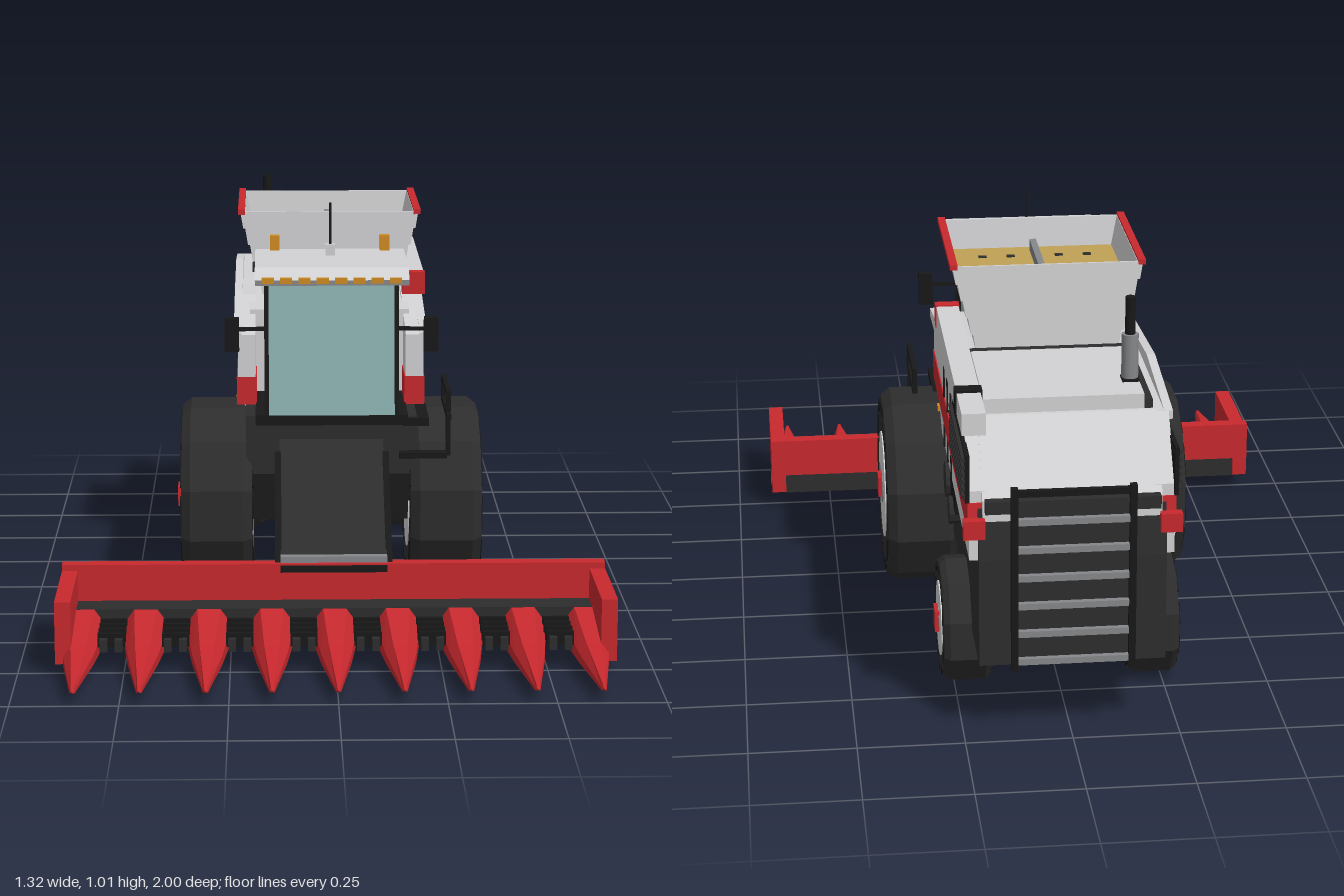
import * as THREE from 'three';

const mat = (name, color, side = THREE.FrontSide) => {
  const m = new THREE.MeshStandardMaterial({ color, side });
  m.name = name;
  return m;
};

export function createModel() {
  const white = mat('pale grey paint', 0xd2d2d4), red = mat('red paint', 0xc8292e);
  const dark = mat('dark grey', 0x2d2d2d), black = mat('black', 0x181818);
  const glass = mat('tinted glass', 0x8ab0af), gold = mat('grain gold', 0xc0a257);
  const amber = mat('amber', 0xd08c22), grey = mat('mid grey', 0x85878a);
  const model = new THREE.Group();
  model.name = 'harvester';

  const add = (name, m, geo, parent = model) => {
    const mesh = new THREE.Mesh(geo, m);
    mesh.name = name;
    parent.add(mesh);
    return mesh;
  };
  const flat = (g) => { const f = g.index ? g.toNonIndexed() : g; f.computeVertexNormals(); return f; };
  // Box given by its limits on each axis
  const box = (name, m, x0, x1, y0, y1, z0, z1, parent) => add(name, m,
    new THREE.BoxGeometry(x1 - x0, y1 - y0, z1 - z0).translate((x0 + x1) / 2, (y0 + y1) / 2, (z0 + z1) / 2), parent);
  // Side profile of [z, y] points extruded from x0 to x1
  const profile = (name, m, pts, x0, x1, parent) => add(name, m,
    new THREE.ExtrudeGeometry(new THREE.Shape(pts.map(p => new THREE.Vector2(p[0], p[1]))),
      { depth: x1 - x0, bevelEnabled: false }).rotateY(-Math.PI / 2).translate(x1, 0, 0), parent);
  // Square bar between two points
  const bar = (name, m, a, b, t = 0.012, parent) => {
    const p = new THREE.Vector3(...a), q = new THREE.Vector3(...b);
    const mesh = add(name, m, new THREE.BoxGeometry(t, t, p.distanceTo(q)), parent);
    mesh.position.copy(p).lerp(q, 0.5);
    mesh.lookAt(q);
    return mesh;
  };
  // Cylinder lying along x, centred at (x, y, z)
  const disc = (name, m, r, w, n, x, y, z, parent) => add(name, m,
    flat(new THREE.CylinderGeometry(r, r, w, n).rotateZ(Math.PI / 2).translate(x, y, z)), parent);
  // Surface through rings of points
  const loft = (name, m, rings) => {
    const v = [];
    for (let i = 0; i + 1 < rings.length; i++) rings[i].forEach((a, j) => {
      const k = (j + 1) % rings[i].length, b = rings[i][k], c = rings[i + 1][k], d = rings[i + 1][j];
      v.push(...a, ...b, ...c, ...a, ...c, ...d);
    });
    const g = new THREE.BufferGeometry();
    g.setAttribute('position', new THREE.Float32BufferAttribute(v, 3));
    g.computeVertexNormals();
    return add(name, m, g);
  };

  // Chassis and upper body
  profile('chassis', dark, [[0.19, 0.49], [0.19, 0.34], [0.1, 0.2], [-0.5, 0.2], [-0.8, 0.18], [-0.98, 0.18],
    [-0.98, 0.44], [-0.96, 0.56], [-0.1, 0.56], [-0.1, 0.49]], -0.215, 0.215);
  profile('upperBody', white, [[-0.04, 0.49], [-0.04, 0.72], [-0.45, 0.74], [-0.84, 0.74], [-0.965, 0.58],
    [-0.965, 0.49]], -0.205, 0.205);
  box('engineDeck', white, -0.18, 0.19, 0.72, 0.775, -0.83, -0.5);
  box('deckGap', dark, -0.195, 0.2, 0.72, 0.765, -0.5, -0.45);
  box('deckEdge', dark, -0.2, -0.18, 0.72, 0.76, -0.83, -0.5);
  box('deckHatch', black, -0.18, -0.14, 0.775, 0.78, -0.75, -0.71);
  box('rearSill', dark, -0.2, 0.2, 0.555, 0.585, -0.985, -0.95);

  // Side panels, mirrored
  for (const s of [-1, 1]) {
    const side = new THREE.Group();
    side.name = s > 0 ? 'leftSide' : 'rightSide';
    model.add(side);
    const [a, b] = s > 0 ? [0.19, 0.235] : [-0.235, -0.19];
    const plate = (name, m, y0, y1, z0, z1, t = 0.004) =>
      box(name, m, Math.min(s * 0.233, s * (0.235 + t)), Math.max(s * 0.233, s * (0.235 + t)), y0, y1, z0, z1, side);
    profile('lowerPanel', white, [[0.02, 0.435], [0.02, 0.5], [-0.96, 0.5], [-0.96, 0.435]], a, b, side);
    profile('redStripe', red, [[0.1, 0.5], [0.1, 0.572], [-0.955, 0.572], [-0.965, 0.5]], a - 0.003, b + 0.003, side);
    profile('upperPanel', white, [[0.1, 0.572], [0.1, 0.68], [-0.18, 0.735], [-0.84, 0.735], [-0.95, 0.6], [-0.95, 0.572]], a, b, side);
    profile('slopingBeam', white, [[0.1, 0.665], [0.1, 0.685], [-0.2, s > 0 ? 0.735 : 0.74], [-0.55, s > 0 ? 0.735 : 0.77],
      [-0.84, 0.735], [-0.84, 0.715]], s > 0 ? 0.225 : -0.245, s > 0 ? 0.245 : -0.225, side);
    // Louvred engine grille
    plate('grille', black, 0.575, 0.69, -0.96, -0.59, 0.008);
    for (let i = 0; i < 6; i++) plate('louvre', dark, 0.583 + i * 0.018, 0.592 + i * 0.018, -0.955, -0.595, 0.016);
    for (const z of [-0.26, -0.365, -0.47]) {
      plate('panelSeam', black, 0.572, 0.66, z - 0.002, z + 0.002);
      plate('lowerSeam', black, 0.44, 0.5, z - 0.002, z + 0.002);
    }
    for (const z of [-0.08, -0.925]) plate('marker', amber, 0.472, 0.486, z - 0.012, z + 0.012, 0.006);
    box('tailLight', red, s > 0 ? 0.2 : -0.25, s > 0 ? 0.25 : -0.2, 0.495, 0.54, -0.985, -0.96, side);
    // Drive pulleys and covers below the panels
    disc('pulley', dark, 0.035, 0.03, 12, s * 0.225, 0.335, -0.415, side);
    disc('pulley', dark, 0.045, 0.03, 12, s * 0.225, 0.37, -0.3, side);
    box('beltCover', black, s > 0 ? 0.21 : -0.23, s > 0 ? 0.23 : -0.21, 0.355, 0.415, -0.5, -0.24, side);
    // Mirror on its arm
    bar('mirrorArm', black, [s * 0.16, 0.715, 0.2], [s * 0.25, 0.715, 0.21], 0.009, side);
    box('mirror', black, s * 0.248 - 0.018, s * 0.248 + 0.018, 0.66, 0.745, 0.2, 0.222, side);
  }

  // Grain tank with stepped walls, red side rims and a grain floor
  const tankRing = (x, y, z0, z1) => [[x, y, z1], [x, y, z0], [-x, y, z0], [-x, y, z1]];
  const rings = [];
  for (let i = 0; i <= 6; i++) {
    const t = i / 6, x = 0.155 + 0.073 * t, y = 0.71 + 0.26 * t;
    if (i) rings.push(tankRing(x, y, -0.435 - 0.016 * t, -0.08 + 0.02 * t));
    if (i < 6) rings.push(tankRing(x + 0.005, y, -0.439 - 0.016 * t, -0.076 + 0.02 * t));
  }
  rings.push(tankRing(0.215, 0.97, -0.445, -0.068), tankRing(0.2, 0.895, -0.438, -0.077));
  loft('grainTank', white, rings);
  box('grainFloor', gold, -0.202, 0.202, 0.888, 0.897, -0.44, -0.075);
  box('tankDivider', grey, -0.008, 0.008, 0.897, 0.925, -0.41, -0.1);
  for (const s of [-1, 1]) {
    box('tankRim', red, s * 0.225 - 0.009, s * 0.225 + 0.009, 0.963, 0.976, -0.455, -0.057);
    for (const z of [-0.35, -0.25, -0.15]) for (const x of [0.06, 0.13])
      box('floorHole', dark, s * x - 0.01, s * x + 0.01, 0.896, 0.899, z - 0.008, z + 0.008);
  }

  // Unloading auger
  box('augerTube', white, 0.195, 0.25, 0.738, 0.79, -0.96, -0.2);
  box('augerCap', red, 0.193, 0.252, 0.735, 0.793, -0.205, -0.175);
  box('augerClamp', black, 0.191, 0.254, 0.733, 0.796, -0.825, -0.79);
  box('augerRest', amber, 0.2, 0.242, 0.715, 0.738, -0.77, -0.74);

  // Exhaust
  add('exhaustBase', grey, new THREE.CylinderGeometry(0.02, 0.02, 0.12, 12).translate(-0.16, 0.825, -0.725));
  add('exhaustPipe', black, new THREE.CylinderGeometry(0.012, 0.012, 0.1, 12).translate(-0.16, 0.925, -0.725));

  // Cab
  box('cabFloor', black, -0.19, 0.19, 0.48, 0.505, -0.04, 0.255);
  box('cabGlass', glass, -0.158, 0.158, 0.505, 0.84, -0.035, 0.19);
  profile('windscreen', glass, [[0.247, 0.505], [0.255, 0.505], [0.205, 0.84], [0.197, 0.84]], -0.158, 0.158);
  for (const s of [-1, 1]) {
    bar('frontPillar', black, [s * 0.162, 0.505, 0.252], [s * 0.162, 0.84, 0.202], 0.011);
    box('sidePillar', black, s * 0.16 - 0.005, s * 0.16 + 0.005, 0.505, 0.84, 0.178, 0.194);
    box('rearPillar', black, s * 0.16 - 0.005, s * 0.16 + 0.005, 0.505, 0.84, -0.036, -0.022);
    box('beacon', amber, s * 0.14 - 0.012, s * 0.14 + 0.012, 0.87, 0.915, -0.035, -0.012);
  }
  profile('cabRoof', white, [[-0.04, 0.845], [0.235, 0.845], [0.27, 0.835], [0.28, 0.85], [0.25, 0.877], [-0.04, 0.877]], -0.19, 0.19);
  box('roofTrim', black, -0.165, 0.165, 0.836, 0.846, -0.035, 0.235);
  for (let i = 0; i < 8; i++) {
    const x = -0.158 + i * 0.045;
    box('workLight', amber, x - 0.015, x + 0.015, 0.842, 0.856, 0.272, 0.284);
  }
  box('antennaBase', white, -0.012, 0.012, 0.875, 0.905, 0.045, 0.068);
  box('antenna', black, -0.003, 0.003, 0.9, 1.01, 0.053, 0.059);

  // Access platform and handrails
  box('platform', black, 0.17, 0.29, 0.385, 0.4, 0.12, 0.22);
  box('upperStep', black, 0.18, 0.245, 0.465, 0.485, 0.02, 0.2);
  for (const z of [0, 0.2]) bar('railPost', black, [0.293, z > 0.1 ? 0.39 : 0.49, z], [0.293, 0.55, z]);
  bar('handrail', black, [0.293, 0.55, -0.006], [0.293, 0.55, 0.206]);
  bar('lowerRail', black, [0.293, 0.495, 0], [0.293, 0.495, 0.24]);

  // Wheels
  const wheel = (name, s, y, z, r, x0, x1, rim, n) => {
    const g = new THREE.Group(), h = (x1 - x0) / 2;
    g.name = name;
    g.position.set(s * (x0 + h), y, z);
    model.add(g);
    const pts = [[rim * 0.9, -h], [r * 0.93, -h], [r, -h * 0.75], [r, h * 0.75], [r * 0.93, h], [rim * 0.9, h]];
    add('tyre', dark, flat(new THREE.LatheGeometry(pts.map(p => new THREE.Vector2(...p)), n, Math.PI / n)
      .rotateZ(Math.PI / 2)), g);
    disc('rim', white, rim, 2 * h + 0.006, 28, 0, 0, 0, g);
    disc('hubPlate', grey, rim * 0.35, 2 * h + 0.01, 16, 0, 0, 0, g);
    box('hub', red, -h - 0.014, h + 0.014, -0.026, 0.026, -0.026, 0.026, g);
    for (let i = 0; i < n; i++) {
      const a = (i * 2 * Math.PI) / n;
      const lug = box('sidewallLug', black, -h - 0.003, h + 0.003, r * 0.78, r * 0.87, -r * 0.17, r * 0.17, g);
      lug.rotation.x = a;
    }
  };
  for (const s of [-1, 1]) {
    wheel('frontWheel', s, 0.243, 0, 0.25, 0.2, 0.378, 0.137, 12);
    wheel('rearWheel', s, 0.148, -0.635, 0.153, 0.165, 0.28, 0.09, 10);
  }
  disc('frontAxle', black, 0.05, 0.44, 10, 0, 0.24, 0);
  box('rearAxle', black, -0.2, 0.2, 0.12, 0.18, -0.665, -0.605);

  // Straw spreaders under the tail
  for (const s of [-1, 1]) {
    for (const turn of [0, 1, 2]) {
      const blade = add('spreaderBlade', black, new THREE.BoxGeometry(0.15, 0.012, 0.02));
      blade.position.set(s * 0.095, 0.165, -0.88);
      blade.rotation.y = turn * Math.PI / 3;
    }
  }

  // Rear ladder
  for (const x of [-0.135, 0.135]) box('ladderRail', black, x - 0.008, x + 0.008, 0.17, 0.62, -1, -0.982);
  for (let i = 0; i < 7; i++) box('ladderRung', i < 6 ? grey : black, -0.135, 0.135, 0.185 + i * 0.069, 0.2 + i * 0.069, -0.998, -0.984);
  box('ladderBack', dark, -0.14, 0.14, 0.18, 0.56, -0.984, -0.975);

  // Feeder house
  profile('feederHouse', dark, [[0.17, 0.43], [0.19, 0.43], [0.48, 0.195], [0.48, 0.09], [0.17, 0.31]], -0.13, 0.13);
  for (const s of [-1, 1]) bar('feederRib', black, [s * 0.135, 0.4, 0.22], [s * 0.135, 0.18, 0.485], 0.016);
  box('feederMouth', grey, -0.13, 0.13, 0.188, 0.205, 0.445, 0.49);
  box('feederLatch', black, -0.13, 0.13, 0.17, 0.186, 0.48, 0.507);

  // Corn header: back wall, trough and end plates
  box('headerBack', red, -0.66, 0.66, 0.09, 0.19, 0.465, 0.5);
  box('headerTrough', dark, -0.625, 0.625, 0.035, 0.1, 0.475, 0.575);
  for (const s of [-1, 1])
    profile('headerEnd', red, [[0.467, 0.04], [0.59, 0.04], [0.59, 0.025], [0.775, 0.025], [0.775, 0.175], [0.467, 0.175]],
      s > 0 ? 0.622 : -0.66, s > 0 ? 0.66 : -0.622);

  // Pointed row dividers with gathering units between
  const section = (x, w, y0, y1, z) => {
    const m = y0 + (y1 - y0) * 0.5;
    return [[-w, y0], [w, y0], [w, m], [w * 0.5, y1], [-w * 0.5, y1], [-w, m]].map(p => [x + p[0], p[1], z]);
  };
  for (let i = 0; i < 9; i++) {
    const x = (i - 4) * 0.1515;
    loft('rowDivider', red, [section(x, 0.001, 0.05, 0.052, 0.57), section(x, 0.056, 0.022, 0.1, 0.571),
      section(x, 0.036, 0.022, 0.068, 0.77), section(x, 0.006, 0.022, 0.036, 0.99), section(x, 0.001, 0.026, 0.028, 1)]);
    if (i === 8) continue;
    const c = x + 0.0758;
    for (const s of [-1, 1]) box('gatheringChain', dark, c + s * 0.018 - 0.009, c + s * 0.018 + 0.009, 0.045, 0.075, 0.57, 0.75);
    for (let k = 0; k < 4; k++) box('gatheringFinger', black, c - 0.032, c + 0.032, 0.052, 0.085, 0.6 + k * 0.04, 0.612 + k * 0.04);
  }
  return model;
}
